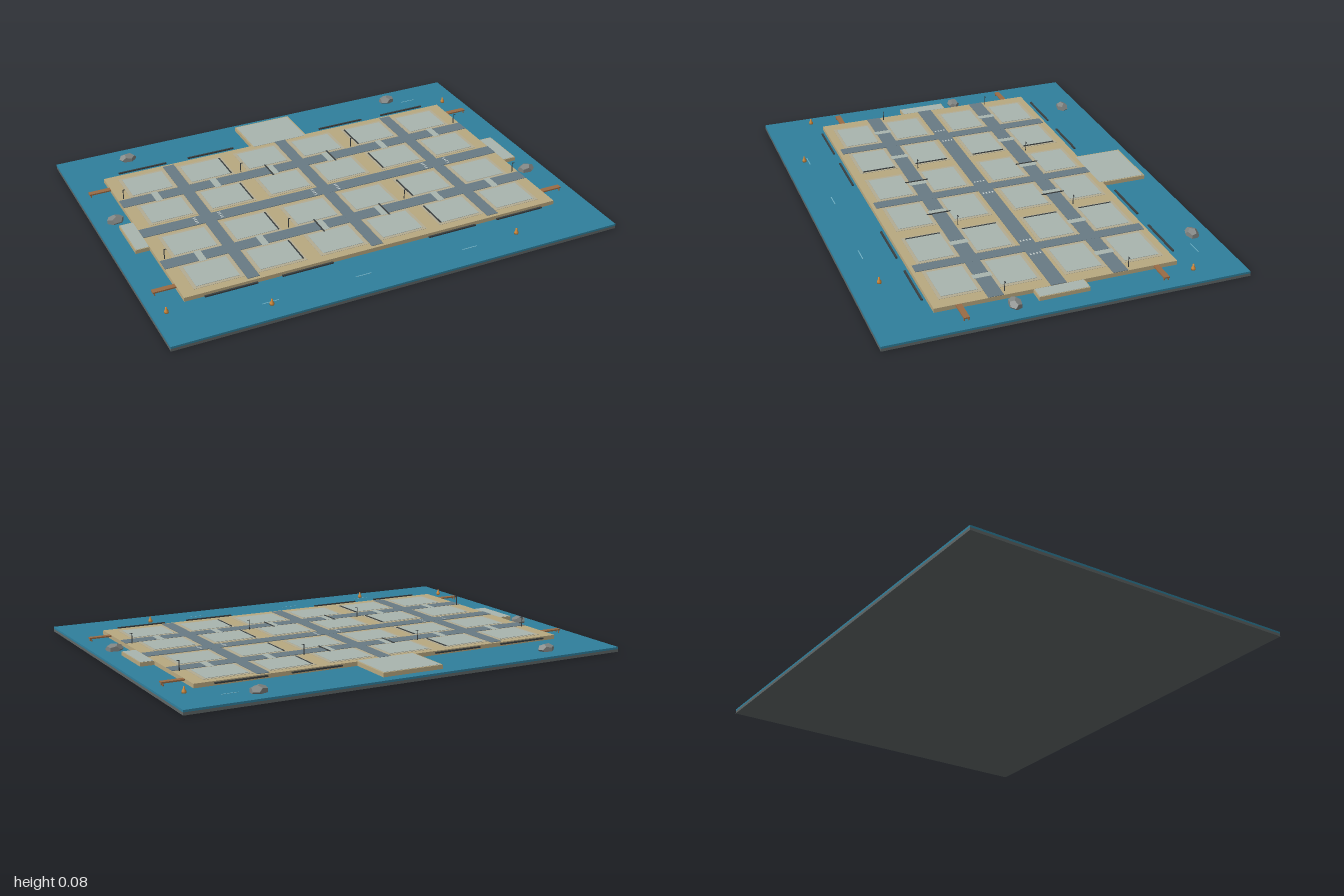
import * as THREE from 'three';

const mat = (color, flatShading = false) => new THREE.MeshStandardMaterial({ color, flatShading });
const M = {
  bed: mat(0x5f6666), water: mat(0x2f7f9c), sand: mat(0xb8a880), pave: mat(0xa9b4ae), kerb: mat(0xb3ac92),
  road: mat(0x687a84), mark: mat(0xc4ccca), wood: mat(0x9a6b45), dark: mat(0x3a3f40),
  rock: mat(0x808482, true), buoy: mat(0xd08a3c), foam: mat(0x6fb0c4),
};

export function createModel() {
  const model = new THREE.Group();
  const add = (name, geo, material, x, y, z) => {
    const mesh = new THREE.Mesh(geo, material);
    mesh.name = name;
    mesh.position.set(x, y, z);
    model.add(mesh);
    return mesh;
  };
  // Box given by its plan limits and its bottom and top heights
  const slab = (name, material, x0, x1, z0, z1, y0, y1) =>
    add(name, new THREE.BoxGeometry(x1 - x0, y1 - y0, z1 - z0), material, (x0 + x1) / 2, (y0 + y1) / 2, (z0 + z1) / 2);
  const block = (name, material, x, z, w, d, y0, y1) =>
    slab(name, material, x - w / 2, x + w / 2, z - d / 2, z + d / 2, y0, y1);

  // Sea bed and water
  slab('seaBed', M.bed, -1, 1, -0.763, 0.763, 0, 0.012);
  slab('water', M.water, -1, 1, -0.763, 0.763, 0.012, 0.021);

  // Island with a rear plaza and two side terraces
  const top = 0.039;
  slab('island', M.sand, -0.853, 0.853, -0.512, 0.512, 0.021, top);
  slab('rearPlaza', M.sand, -0.138, 0.138, -0.717, -0.512, 0.021, top);
  slab('rearPlazaPaving', M.pave, -0.131, 0.131, -0.71, -0.5, top, top + 0.001);
  for (const s of [-1, 1]) {
    block('sideTerrace', M.sand, s * 0.883, 0, 0.062, 0.214, 0.021, top - 0.001);
    block('sideTerracePaving', M.pave, s * 0.882, 0, 0.056, 0.206, top - 0.001, top);
  }

  // City blocks: kerb and paving, with a low wall beside each middle block
  const columns = [-0.69, -0.415, -0.138, 0.138, 0.415, 0.69];
  for (const z of [-0.39, -0.138, 0.138, 0.385]) {
    for (const x of columns) {
      block('blockKerb', M.kerb, x, z, 0.215, 0.178, top, top + 0.001);
      block('blockPaving', M.pave, x, z, 0.185, 0.15, top, top + 0.0025);
    }
    for (const x of [-0.32, 0.32]) block('blockWall', M.dark, x, z, 0.006, 0.15, top, top + 0.004);
  }

  // Roads: main road, cross avenues, and side streets broken by footpaths
  slab('mainRoad', M.road, -0.853, 0.853, -0.033, 0.033, top, top + 0.0022);
  for (const x of [-0.553, 0, 0.553]) slab('avenue', M.road, x - 0.026, x + 0.026, -0.5, 0.497, top, top + 0.002);
  const ends = [-0.868, ...columns, 0.868];
  for (const z of [-0.265, 0.26]) {
    for (let i = 0; i < ends.length - 1; i++)
      slab('sideStreet', M.road, ends[i] + 0.016, ends[i + 1] - 0.016, z - 0.032, z + 0.032, top, top + 0.0018);
    for (const x of columns) block('footpath', M.pave, x, z, 0.03, 0.08, top, top + 0.0016);
    for (const x of [-0.155, 0.155]) block('streetBarrier', M.dark, x, z, 0.006, 0.105, top, top + 0.004);
  }

  // Pedestrian crossings on the main road
  for (const x of [-0.553, 0, 0.553])
    for (const s of [-1, 1])
      for (let i = 0; i < 4; i++)
        block('crossingStripe', M.mark, x + s * 0.056, -0.021 + i * 0.014, 0.012, 0.006, top, top + 0.0028);

  // Piers on the sides, rails off the front and rear shores
  for (const s of [-1, 1]) {
    for (const z of [-0.418, 0.413]) {
      block('pier', M.wood, s * 0.9, z, 0.1, 0.024, 0.032, 0.038);
      for (const dz of [-0.009, 0.009])
        add('pierPost', new THREE.CylinderGeometry(0.003, 0.003, 0.017, 6), M.wood, s * 0.943, 0.0285, z + dz);
    }
    for (const x of [-0.663, -0.333, 0.333, 0.663])
      block('shoreRail', M.dark, x, s * 0.534, 0.225, 0.008, 0.034, 0.04);
  }

  // Street lamps with a short arm
  for (const z of [-0.309, 0.216])
    for (const x of [-0.827, -0.276, 0.276, 0.827]) {
      add('lampPost', new THREE.CylinderGeometry(0.0018, 0.0022, 0.044, 6), M.dark, x, 0.061, z);
      block('lampArm', M.dark, x + 0.004, z, 0.012, 0.003, 0.081, 0.0835);
    }

  // Faceted rocks rising from the water
  [[-0.69, -0.667], [0.66, -0.68], [-0.91, -0.17], [0.91, 0.205]].forEach(([x, z], i) => {
    const geo = new THREE.DodecahedronGeometry(1, 0).rotateY(i * 0.7 + 0.3).scale(0.04, 0.024, 0.028);
    add('rock', geo, M.rock, x, 0.029, z);
  });

  // Buoys
  const profile = [[0, 0], [0.009, 0.001], [0.009, 0.009], [0.004, 0.019], [0.004, 0.026], [0, 0.028]]
    .map(([r, y]) => new THREE.Vector2(r, y));
  for (const [x, z] of [[0.91, -0.555], [-0.94, 0.55], [-0.553, 0.675], [0.578, 0.646]])
    add('buoy', new THREE.LatheGeometry(profile, 10), M.buoy, x, 0.02, z);

  // Foam lines on the water
  for (const [x, z] of [[-0.55, 0.657], [-0.14, 0.646], [0.345, 0.657], [0.76, -0.64]])
    block('foamLine', M.foam, x, z, 0.07, 0.004, 0.021, 0.022);

  return model;
}
